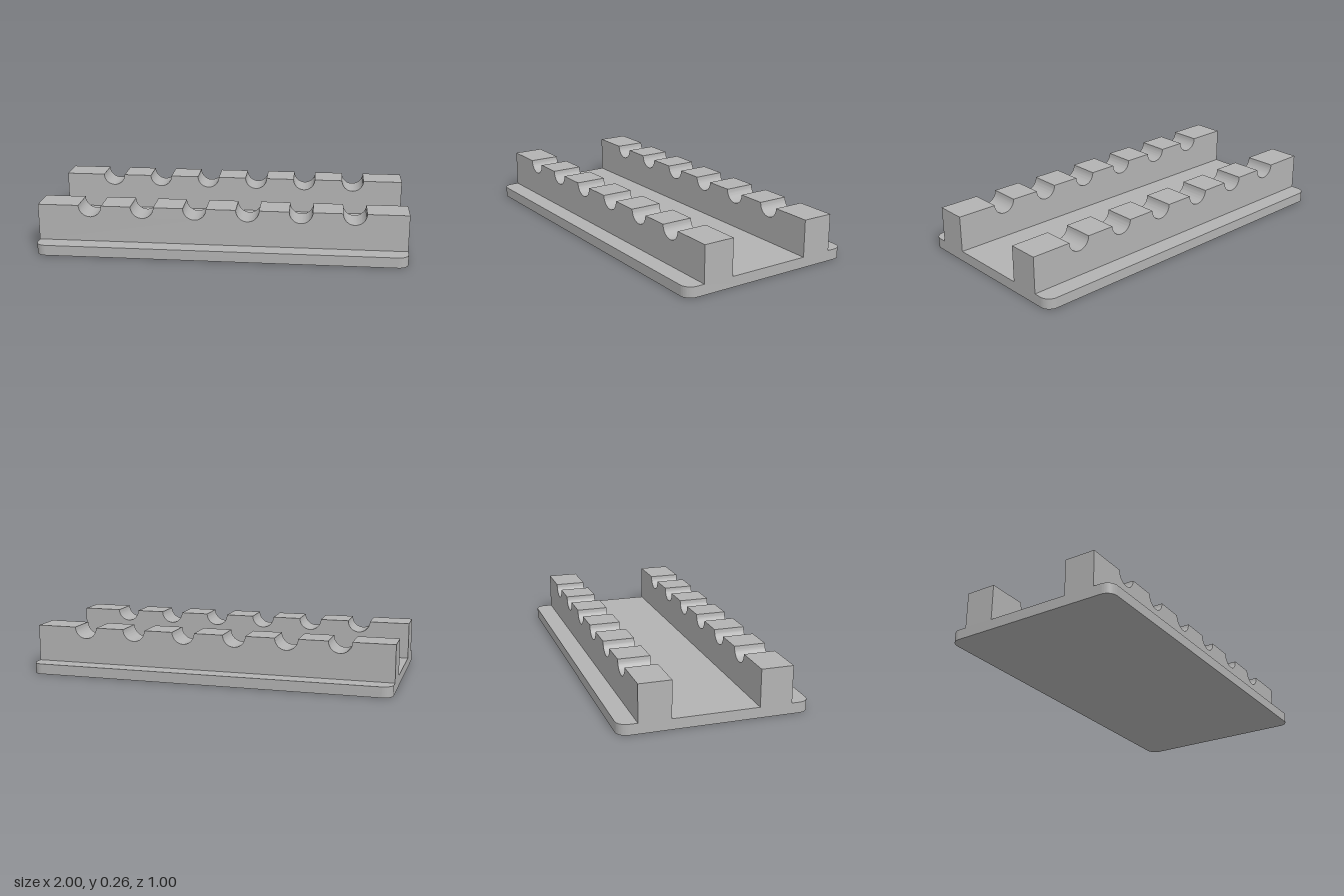
import * as THREE from 'three';
import { toCreasedNormals } from 'three/addons/utils/BufferGeometryUtils.js';

const BASE_H = 0.057, TOP = 0.257;
const RAIL_IN = 0.229, RAIL_OUT = 0.4;
const GROOVE_R = 0.0625, GROOVES = 6, PITCH = 2 / 7;

// Extrude with smooth curves and sharp edges
function extrude(shape, depth) {
  const geo = new THREE.ExtrudeGeometry(shape, { depth, bevelEnabled: false, curveSegments: 24 });
  return toCreasedNormals(geo, Math.PI / 6);
}

// Rectangular plate outline with rounded corners
function baseShape(hx, hz, r) {
  const s = new THREE.Shape();
  s.absarc(hx - r, hz - r, r, 0, Math.PI / 2);
  s.absarc(-hx + r, hz - r, r, Math.PI / 2, Math.PI);
  s.absarc(-hx + r, -hz + r, r, Math.PI, Math.PI * 1.5);
  s.absarc(hx - r, -hz + r, r, Math.PI * 1.5, Math.PI * 2);
  s.closePath();
  return s;
}

// Rail side profile with half-round grooves along its top edge
function railShape() {
  const s = new THREE.Shape();
  s.moveTo(-1, BASE_H);
  s.lineTo(-1, TOP);
  for (let i = 0; i < GROOVES; i++) {
    const x = (i - (GROOVES - 1) / 2) * PITCH;
    s.absarc(x, TOP, GROOVE_R, Math.PI, Math.PI * 2);
  }
  s.lineTo(1, TOP);
  s.lineTo(1, BASE_H);
  s.closePath();
  return s;
}

export function createModel() {
  const group = new THREE.Group();
  group.name = 'groovedRack';
  const grey = new THREE.MeshStandardMaterial({ color: 0xb3b3b3 });
  grey.name = 'grey';

  // Base plate
  const base = new THREE.Mesh(extrude(baseShape(1, 0.5, 0.057), BASE_H), grey);
  base.name = 'basePlate';
  base.rotation.x = -Math.PI / 2;
  group.add(base);

  // Two grooved rails
  const railGeo = extrude(railShape(), RAIL_OUT - RAIL_IN);
  for (const [name, z] of [['frontRail', RAIL_IN], ['backRail', -RAIL_OUT]]) {
    const rail = new THREE.Mesh(railGeo, grey);
    rail.name = name;
    rail.position.z = z;
    group.add(rail);
  }
  return group;
}
